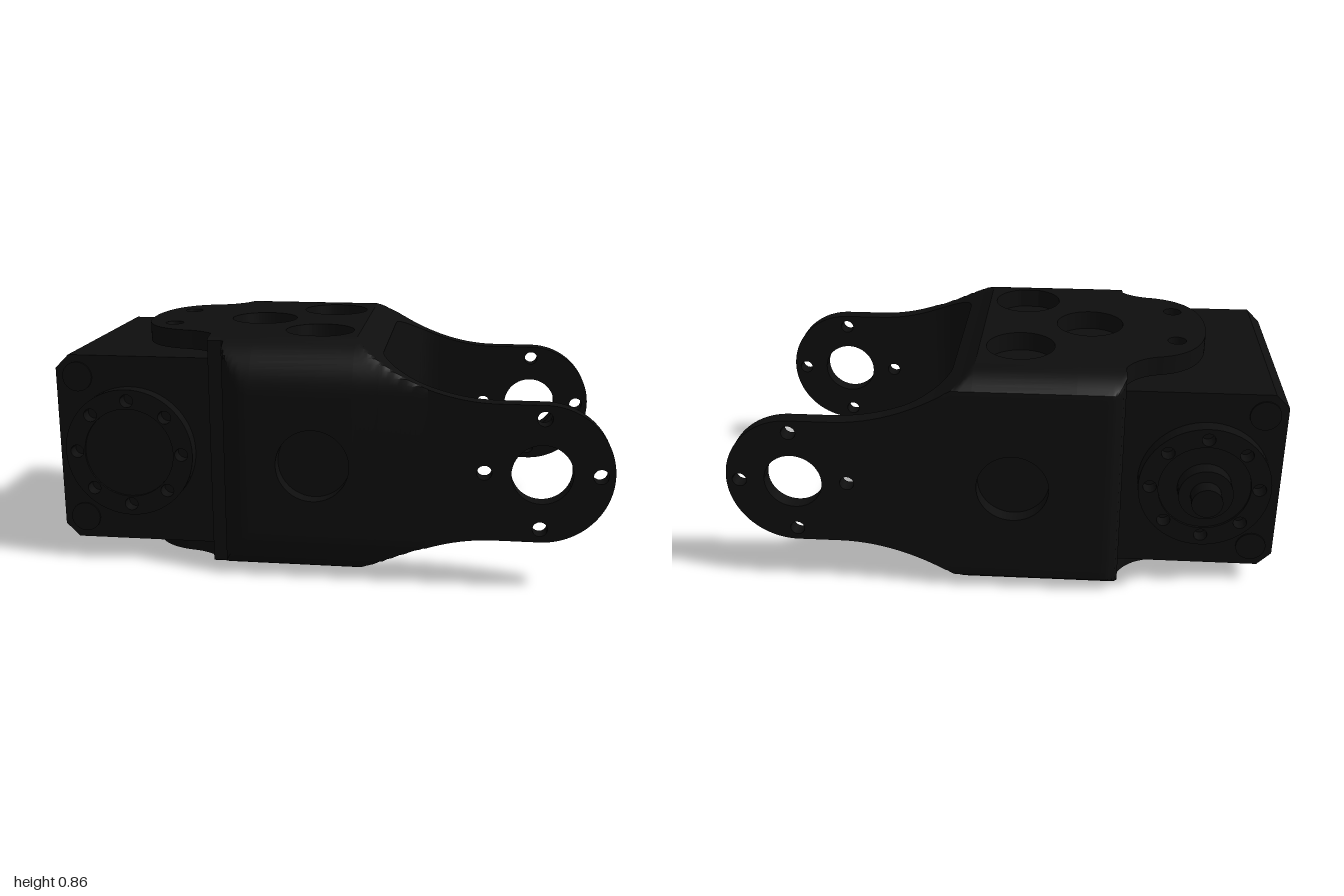
import * as THREE from 'three';
import { toCreasedNormals } from 'three/addons/utils/BufferGeometryUtils.js';

const material = new THREE.MeshStandardMaterial({ color: 0x0e0e0e, side: THREE.DoubleSide });
const FRONT = 0.56, BACK = 0.51, WALL = 0.057, H = 0.43, R = 0.18, FLAT = 0.38;
const MID_Z = 0.025, HORN_X = -0.725, PIVOT_X = 0.755;

// Half height of the bracket: full at the sleeve, tapering in a curve to the arm tips
const halfHeight = (x) => 0.245 + (H - 0.245) * (1 - THREE.MathUtils.clamp((x - 0.1) / 0.5, 0, 1)) ** 2;

// Depth limit of one side, with the rounded edge where the sleeve starts
function sideLimit(x, s) {
  const [start, r, out] = s > 0 ? [-0.38, 0.12, FRONT] : [-0.43, 0.065, BACK];
  if (x >= start + r) return out;
  const d = Math.max(0, x - start);
  return out - r + Math.sqrt(Math.max(0, r * r - (r - d) ** 2));
}

// Rounded corner from the top flat down to the side, as [z, y]
function corner(x, s, v) {
  const pts = [], h = halfHeight(x), limit = sideLimit(x, s);
  for (let i = 0; i <= 12; i++) {
    const a = (i / 12) * Math.PI / 2;
    const z = Math.min(limit, FLAT + R * Math.sin(a));
    pts.push([s * z, v * Math.min(h, 0.25 + R * Math.cos(a))]);
  }
  return pts;
}

// Skin a row of closed [z, y] sections along x and cap both ends
function loft(stations) {
  const flat = (sec) => sec.map(([z, y]) => new THREE.Vector2(-z, y));
  if (THREE.ShapeUtils.area(flat(stations[0].sec)) < 0) stations.forEach((s) => s.sec.reverse());
  const n = stations[0].sec.length, pos = [], idx = [];
  for (const { x, sec } of stations) for (const [z, y] of sec) pos.push(x, y, z);
  for (let k = 0; k < stations.length - 1; k++) {
    for (let i = 0; i < n; i++) {
      const a = k * n + i, b = k * n + (i + 1) % n;
      idx.push(a, b, a + n, b, b + n, a + n);
    }
  }
  const last = (stations.length - 1) * n;
  for (const [a, b, c] of THREE.ShapeUtils.triangulateShape(flat(stations[0].sec), [])) idx.push(a, c, b);
  for (const [a, b, c] of THREE.ShapeUtils.triangulateShape(flat(stations.at(-1).sec), [])) idx.push(last + a, last + b, last + c);
  const geo = new THREE.BufferGeometry();
  geo.setAttribute('position', new THREE.Float32BufferAttribute(pos, 3));
  geo.setIndex(idx);
  return toCreasedNormals(geo, 0.6);
}

const range = (a, b, n) => Array.from({ length: n + 1 }, (_, i) => a + (b - a) * i / n);

function punch(shape, x, y, r) {
  shape.holes.push(new THREE.Path().absarc(x, y, r, 0, Math.PI * 2, true));
}

const extrude = (shape, depth) =>
  new THREE.ExtrudeGeometry(shape, { depth, bevelEnabled: false, curveSegments: 32 });

export function createModel() {
  const root = new THREE.Group();
  root.name = 'servoWithBracket';
  const body = new THREE.Group();
  body.name = 'assembly';
  body.position.y = H;
  root.add(body);

  const add = (name, geo, x = 0, y = 0, z = 0) => {
    const mesh = new THREE.Mesh(geo, material);
    mesh.name = name;
    mesh.position.set(x, y, z);
    body.add(mesh);
    return mesh;
  };
  // Cylinder lying along z between two depths
  const disc = (name, x, y, z0, z1, r, sides = 40) =>
    add(name, new THREE.CylinderGeometry(r, r, Math.abs(z1 - z0), sides).rotateX(Math.PI / 2), x, y, (z0 + z1) / 2);

  // Servo case with chamfered outer corners
  const caseShape = new THREE.Shape([[-0.95, -0.35], [-0.2, -0.35], [-0.2, 0.35], [-0.95, 0.35], [-1, 0.3], [-1, -0.3]]
    .map(([x, y]) => new THREE.Vector2(x, y)));
  add('servoCase', extrude(caseShape, 0.83), 0, 0, -0.4);

  // Output horn on the front, idler horn and stub on the back
  const horn = new THREE.Shape().absarc(0, 0, 0.237, 0, Math.PI * 2);
  punch(horn, 0, 0, 0.165);
  for (let i = 0; i < 8; i++) {
    const a = i * Math.PI / 4;
    punch(horn, 0.195 * Math.cos(a), 0.195 * Math.sin(a), 0.024);
  }
  add('frontHorn', extrude(horn, 0.05), HORN_X, 0, 0.43);
  add('backHorn', extrude(horn, 0.055), HORN_X, 0, -0.455);
  disc('frontHornCentre', HORN_X, 0, 0.43, 0.472, 0.165);
  disc('backHornCentre', HORN_X, 0, -0.4, -0.447, 0.165);
  disc('backBoss', HORN_X, 0, -0.4, -0.505, 0.097);
  disc('backStub', HORN_X, 0, -0.5, -0.562, 0.055);

  // Case screws
  for (const y of [-0.27, 0.27]) {
    disc('frontScrew', -0.92, y, 0.42, 0.436, 0.055, 24);
    disc('backScrew', -0.92, y, -0.39, -0.406, 0.055, 24);
    for (const z of [-0.27, 0.3]) {
      const s = add('endScrew', new THREE.CylinderGeometry(0.025, 0.025, 0.02, 16).rotateZ(Math.PI / 2), -0.992, y, z);
      s.scale.x = 0.9;
    }
  }

  // Sleeve core, recessed where the cover plates sit, ending in the bridge wall
  const stations = [];
  const station = (x, recessed) => {
    const top = recessed ? 0.36 : halfHeight(x);
    const sec = [];
    for (const [s, v] of [[1, 1], [1, -1], [-1, -1], [-1, 1]]) {
      const inset = recessed === 2 ? WALL : 0;
      const c = [[s * FLAT, v * top], ...corner(x, s, v)];
      c.push([s * (sideLimit(x, s) - inset), v * 0.25]);
      sec.push(...(s * v > 0 ? c : c.reverse()));
    }
    stations.push({ x, sec });
  };
  for (const x of range(-0.43, -0.26, 17)) station(x, 1);
  station(-0.26, 2);
  station(0.1, 2);
  for (const x of range(0.1, 0.19, 6)) station(x, 0);
  add('sleeve', loft(stations));

  // Top and bottom plates with a rounded tongue and lightening holes
  const plate = new THREE.Shape();
  plate.moveTo(0.1, -FLAT);
  plate.lineTo(-0.43, -FLAT);
  plate.quadraticCurveTo(-0.47, -0.3, -0.55, -0.28);
  plate.bezierCurveTo(-0.68, -0.25, -0.735, -0.13, -0.735, MID_Z);
  plate.bezierCurveTo(-0.735, 0.18, -0.68, 0.29, -0.55, 0.32);
  plate.quadraticCurveTo(-0.47, 0.33, -0.43, FLAT);
  plate.lineTo(0.1, FLAT);
  for (const [x, dz, r] of [[-0.3, 0, 0.125], [-0.05, 0.235, 0.125], [-0.05, -0.235, 0.125], [-0.62, 0.148, 0.034], [-0.62, -0.148, 0.034]]) {
    punch(plate, x, MID_Z + dz, r);
  }
  for (const [name, y] of [['topPlate', H], ['bottomPlate', -0.36]]) {
    add(name, extrude(plate, 0.07).rotateX(Math.PI / 2), 0, y, 0);
  }

  // Side panels, fillets and fork arms
  const panel = new THREE.Shape([[-0.26, -0.25], [0.1, -0.25], [0.1, 0.25], [-0.26, 0.25]]
    .map(([x, y]) => new THREE.Vector2(x, y)));
  punch(panel, -0.04, 0, 0.13);

  const xs = range(0.36, 0.6, 8);
  const arm = new THREE.Shape();
  arm.moveTo(0.36, -halfHeight(0.36));
  xs.forEach((x) => arm.lineTo(x, -halfHeight(x)));
  arm.absarc(PIVOT_X, 0, 0.245, -Math.PI / 2, Math.PI / 2);
  xs.reverse().forEach((x) => arm.lineTo(x, halfHeight(x)));
  punch(arm, PIVOT_X, 0, 0.105);
  for (let i = 0; i < 4; i++) {
    const a = i * Math.PI / 2;
    punch(arm, PIVOT_X + 0.197 * Math.cos(a), 0.197 * Math.sin(a), 0.026);
  }

  for (const [side, s, out] of [['front', 1, FRONT], ['back', -1, BACK]]) {
    const z = s > 0 ? out - WALL : -out;
    add(side + 'Panel', extrude(panel, WALL), 0, 0, z);
    add(side + 'Arm', extrude(arm, WALL), 0, 0, z);
    const fillet = range(0, 1, 14).map((t) => {
      const x = 0.36 - 0.17 * Math.cos(t * Math.PI / 2);
      const inner = out - WALL - 0.17 + 0.17 * Math.sin(t * Math.PI / 2);
      const h = halfHeight(x);
      const edge = [...corner(x, s, 1), ...corner(x, s, -1).reverse()]
        .map(([cz, y]) => [s * Math.max(Math.abs(cz), inner), y]);
      return { x, sec: [...edge, [s * inner, -h], [s * inner, h]] };
    });
    add(side + 'ArmRoot', loft(fillet));
  }
  return root;
}
